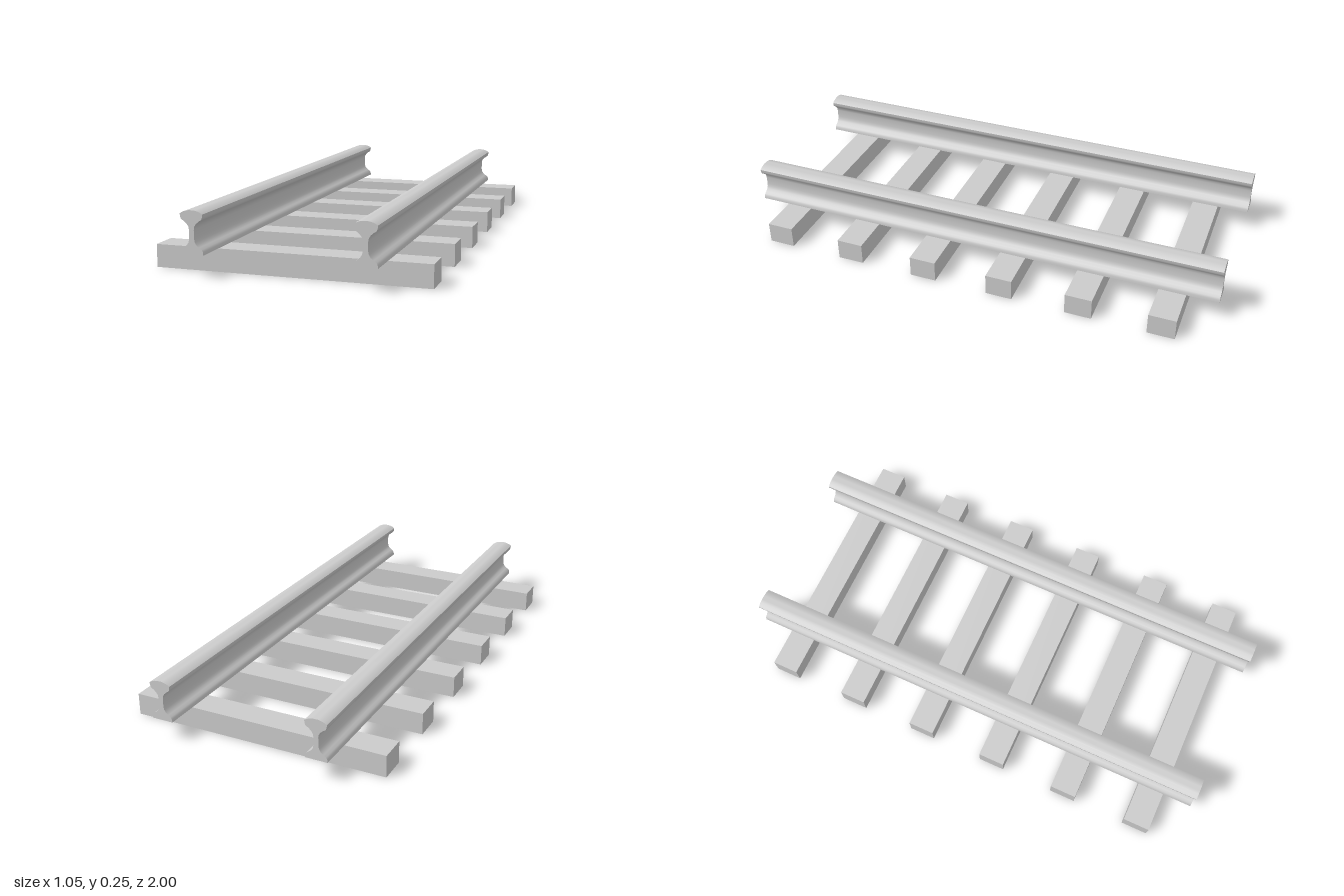
import * as THREE from 'three';
import { toCreasedNormals } from 'three/addons/utils/BufferGeometryUtils.js';

const SLEEPER = { length: 1.05, height: 0.087, width: 0.109, count: 6, spacing: 0.3285, offset: 0.004 };
const RAIL_X = 0.319;
const RAIL_LENGTH = 2;

// Right half of the rail section, from the crown down to the foot
const HALF_SECTION = [
  [0.009, 0.2465], [0.022, 0.244], [0.035, 0.239], [0.0435, 0.2335],
  [0.042, 0.222], [0.039, 0.214], [0.028, 0.207], [0.018, 0.198],
  [0.0115, 0.188], [0.0095, 0.177], [0.0095, 0.144], [0.012, 0.132],
  [0.018, 0.122], [0.028, 0.114], [0.038, 0.107], [0.0425, 0.099], [0.0435, 0.087],
];

// Mirrored section extruded along z, smooth along the curves and sharp at the ends
function railGeometry() {
  const right = HALF_SECTION.map(([x, y]) => new THREE.Vector2(x, y));
  const left = HALF_SECTION.map(([x, y]) => new THREE.Vector2(-x, y)).reverse();
  const geometry = new THREE.ExtrudeGeometry(new THREE.Shape([...right, ...left]), {
    depth: RAIL_LENGTH, bevelEnabled: false,
  });
  geometry.translate(0, 0, -RAIL_LENGTH / 2);
  return toCreasedNormals(geometry, THREE.MathUtils.degToRad(38));
}

export function createModel() {
  const track = new THREE.Group();
  track.name = 'railwayTrack';
  const material = new THREE.MeshStandardMaterial({ color: 0xcccccc });

  const add = (name, geometry, x, y, z) => {
    const mesh = new THREE.Mesh(geometry, material);
    mesh.name = name;
    mesh.position.set(x, y, z);
    track.add(mesh);
  };

  // Two rails resting on the sleepers
  const rail = railGeometry();
  add('leftRail', rail, RAIL_X, 0, 0);
  add('rightRail', rail, -RAIL_X, 0, 0);

  // Evenly spaced sleepers
  const beam = new THREE.BoxGeometry(SLEEPER.length, SLEEPER.height, SLEEPER.width);
  for (let i = 0; i < SLEEPER.count; i++) {
    const z = (i - (SLEEPER.count - 1) / 2) * SLEEPER.spacing + SLEEPER.offset;
    add(`sleeper${i + 1}`, beam, 0, SLEEPER.height / 2, z);
  }
  return track;
}
